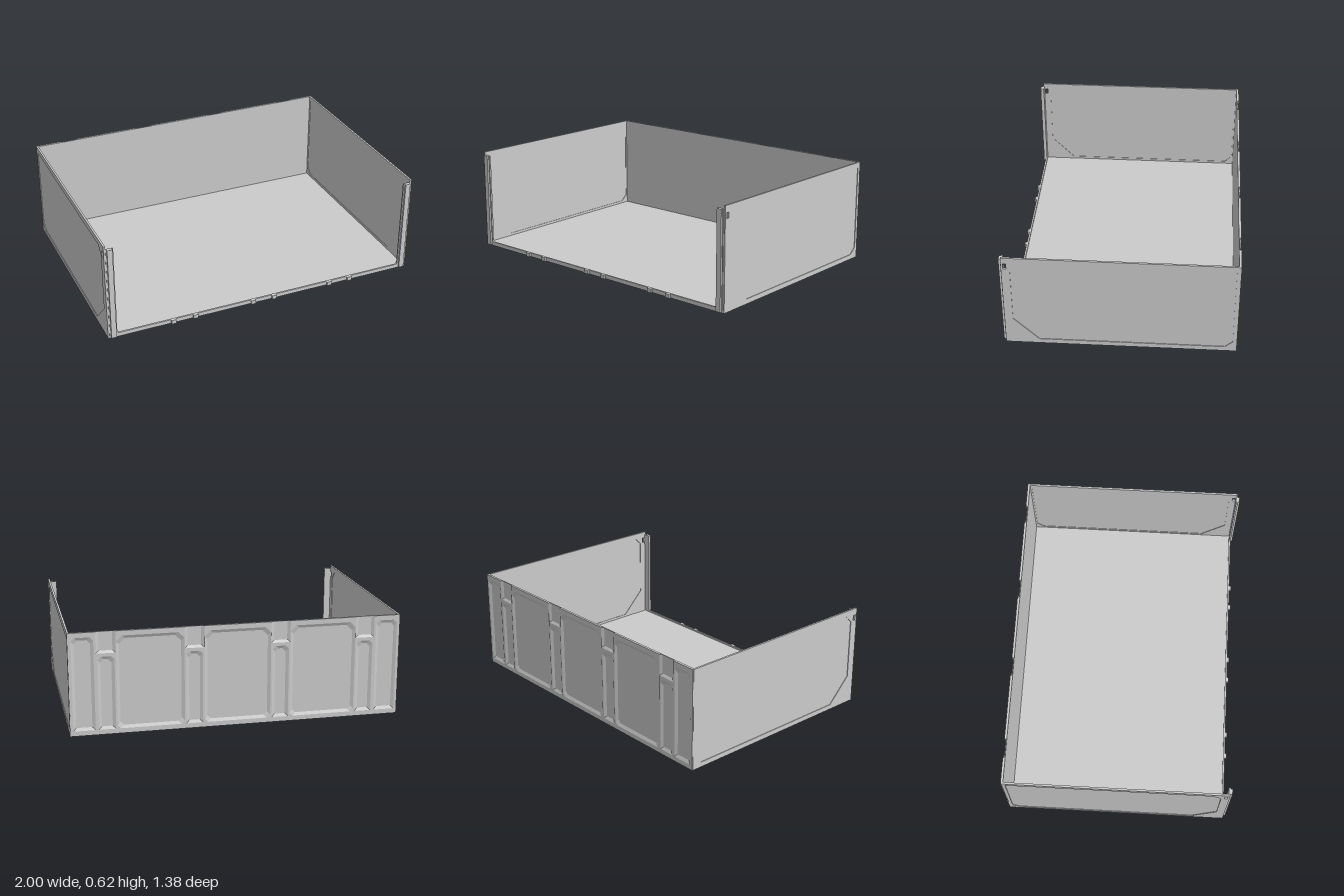
import * as THREE from 'three';

const H = 0.625;
const grey = new THREE.MeshStandardMaterial({ color: 0xcccccc, flatShading: true });
const greyDouble = new THREE.MeshStandardMaterial({ color: 0xcccccc, flatShading: true, side: THREE.DoubleSide });

const vecs = (pts) => pts.map(([x, y]) => new THREE.Vector2(x, y));
const extrude = (shape, depth) =>
  new THREE.ExtrudeGeometry(shape, { depth, bevelEnabled: false, curveSegments: 6 });

// rectangle whose upper and lower corners can be chamfered
function panelPoints(x0, x1, y0, y1, cTop, cLow = 0) {
  const pts = cLow ? [[x0, y0 + cLow], [x0 + cLow, y0], [x1 - cLow, y0], [x1, y0 + cLow]]
    : [[x0, y0], [x0, y0], [x1, y0], [x1, y0]];
  if (cTop) pts.push([x1, y1 - cTop], [x1 - cTop, y1], [x0 + cTop, y1], [x0, y1 - cTop]);
  else pts.push([x1, y1], [x1, y1], [x0, y1], [x0, y1]);
  return pts.filter((p, i) => !i || p[0] !== pts[i - 1][0] || p[1] !== pts[i - 1][1]);
}

// sloped skirt joining an outer outline to an inner one
function skirt(outer, inner, z0, z1, closed) {
  const pos = [], index = [], n = outer.length;
  for (let i = 0; i < n; i++) {
    pos.push(outer[i][0], outer[i][1], z0, inner[i][0], inner[i][1], z1);
    if (i < n - 1 || closed) {
      const a = 2 * i, b = 2 * ((i + 1) % n);
      index.push(a, a + 1, b, b, a + 1, b + 1);
    }
  }
  const g = new THREE.BufferGeometry();
  g.setAttribute('position', new THREE.Float32BufferAttribute(pos, 3));
  g.setIndex(index);
  g.computeVertexNormals();
  return g;
}

export function createModel() {
  const model = new THREE.Group();
  const add = (name, geo, x = 0, y = 0, z = 0, mat = grey) => {
    const m = new THREE.Mesh(geo, mat);
    m.name = name;
    m.position.set(x, y, z);
    model.add(m);
    return m;
  };
  const box = (name, x0, x1, y0, y1, z0, z1) =>
    add(name, new THREE.BoxGeometry(x1 - x0, y1 - y0, z1 - z0), (x0 + x1) / 2, (y0 + y1) / 2, (z0 + z1) / 2);

  // floor
  box('floor', -0.99, 0.99, 0, 0.014, -0.68, 0.672);

  // side walls: frame with a thin chamfered panel and a small slot near the front
  const sidePanel = [[0.475, 0.03], [0.625, 0.18], [0.625, 0.545], [0.58, 0.59],
    [-0.665, 0.59], [-0.665, 0.07], [-0.62, 0.03]];
  const frame = new THREE.Shape(vecs([[-0.685, 0], [0.675, 0], [0.675, H], [-0.685, H]]));
  frame.holes.push(new THREE.Path(vecs(sidePanel)));
  frame.holes.push(new THREE.Path(vecs([[0.645, 0.548], [0.663, 0.548], [0.663, 0.583], [0.645, 0.583]])));
  const frameGeo = extrude(frame, 0.012).rotateY(-Math.PI / 2);
  const panelGeo = extrude(new THREE.Shape(vecs(sidePanel)), 0.005).rotateY(-Math.PI / 2);
  for (const [side, s] of [['left', 1], ['right', -1]]) {
    add(side + 'WallFrame', frameGeo, s * 0.994 + 0.006);
    add(side + 'WallPanel', panelGeo, s * 0.9935 + 0.0025);
    // upright rib on the front flange
    box(side + 'FrontRib', s * 0.967 - 0.016, s * 0.967 + 0.016, 0.005, 0.605, 0.676, 0.69);
  }

  // U-shaped front flange with rounded inner corners
  const u = new THREE.Shape();
  u.moveTo(-0.99, 0);
  u.lineTo(0.99, 0);
  u.lineTo(0.99, 0.605);
  u.lineTo(0.943, 0.605);
  u.lineTo(0.943, 0.04);
  u.quadraticCurveTo(0.943, 0.025, 0.928, 0.025);
  u.lineTo(-0.928, 0.025);
  u.quadraticCurveTo(-0.943, 0.025, -0.943, 0.04);
  u.lineTo(-0.943, 0.605);
  u.lineTo(-0.99, 0.605);
  add('frontFlange', extrude(u, 0.011), 0, 0, 0.667);

  // small tabs along the front edge
  for (const c of [0.07, 0.45, 0.592])
    for (const s of [-1, 1]) box('frontTab', s * c - 0.015, s * c + 0.015, 0, 0.025, 0.675, 0.69);

  // back wall skin
  box('backWall', -0.995, 0.995, 0, H, -0.681, -0.675);

  // pockets in the back: three wide, four short narrow, two tall narrow
  const pockets = [];
  for (const c of [-0.52, 0, 0.52]) pockets.push([c - 0.2, c + 0.2, 0.03, 0.595, 0.035, 0.02]);
  for (const c of [-0.78, -0.26, 0.26, 0.78]) pockets.push([c - 0.05, c + 0.05, 0.03, 0.475, 0.02, 0]);
  for (const s of [-1, 1]) pockets.push([s * 0.915 - 0.065, s * 0.915 + 0.065, 0.03, 0.595, 0.02, 0]);

  // back frame outline with four notches open at the top
  const notches = [0.78, 0.26, -0.26, -0.78];
  const outline = [[-0.998, 0], [0.998, 0], [0.998, H]];
  for (const c of notches)
    outline.push([c + 0.058, H], [c + 0.058, 0.495], [c - 0.058, 0.495], [c - 0.058, H]);
  outline.push([-0.998, H]);
  const back = new THREE.Shape(vecs(outline));
  const slope = 0.018, zOut = -0.69, zIn = -0.681;
  for (const [x0, x1, y0, y1, ct, cl] of pockets) {
    const outer = panelPoints(x0, x1, y0, y1, ct, cl);
    const inner = panelPoints(x0 + slope, x1 - slope, y0 + slope, y1 - slope, ct, cl);
    back.holes.push(new THREE.Path(vecs(outer)));
    add('backPocketSlope', skirt(outer, inner, zOut, zIn, true), 0, 0, 0, greyDouble);
  }
  add('backFrame', extrude(back, 0.01), 0, 0, zOut);
  for (const c of notches) {
    const ring = (w, y) => [[c - w, H], [c - w, y], [c + w, y], [c + w, H]];
    add('backNotchSlope', skirt(ring(0.058, 0.495), ring(0.04, 0.51), zOut, zIn, false), 0, 0, 0, greyDouble);
  }
  return model;
}
